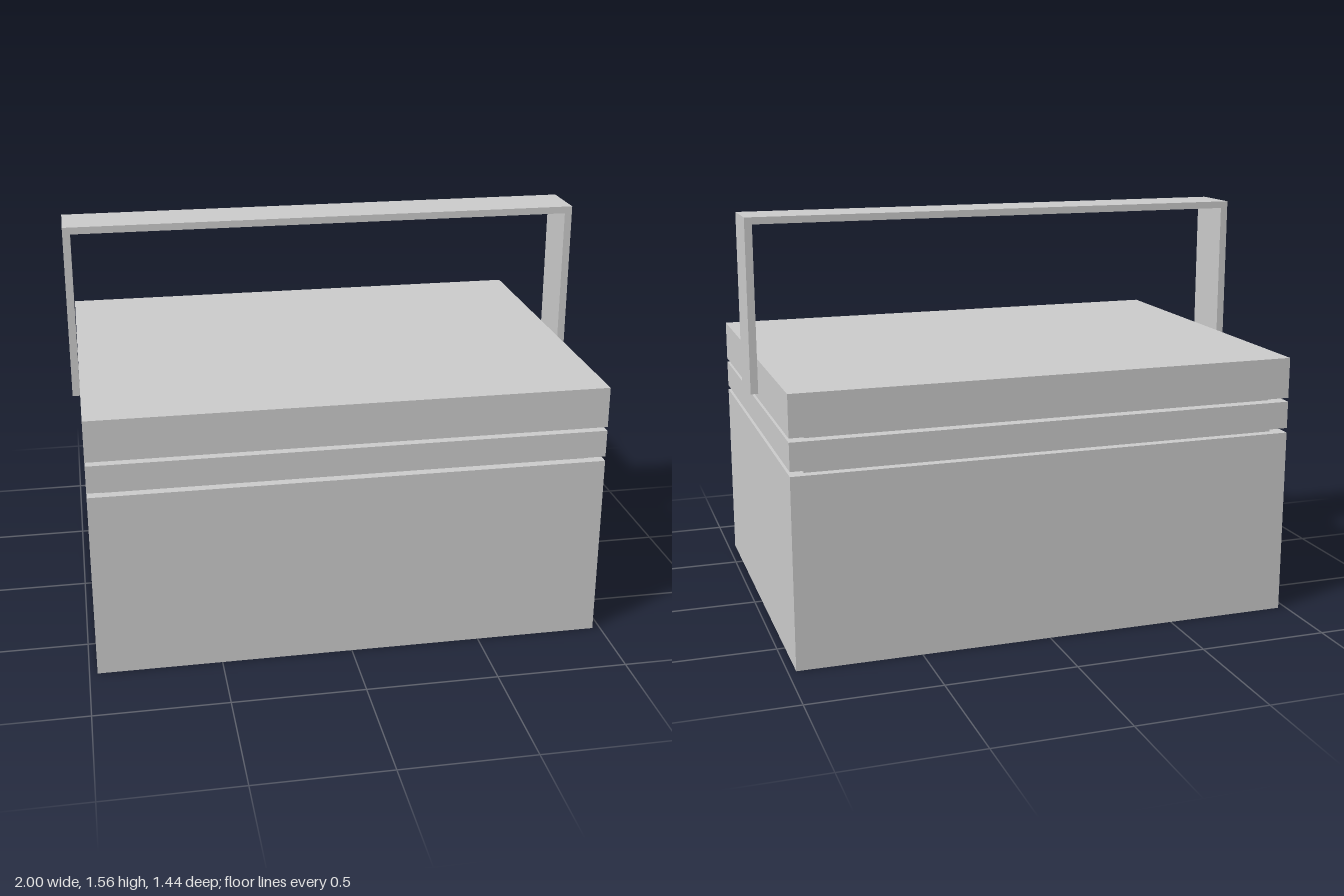
import * as THREE from 'three';

export function createModel() {
  const group = new THREE.Group();
  const material = new THREE.MeshStandardMaterial({ color: 0xcccccc, flatShading: true });

  const add = (name, geometry) => {
    const mesh = new THREE.Mesh(geometry, material);
    mesh.name = name;
    group.add(mesh);
    return mesh;
  };

  // Stacked slabs: name, half width, half depth, bottom, top
  const slabs = [
    ['basketBody', 0.97, 0.72, 0, 0.722],
    ['lowerNeck', 0.915, 0.683, 0.722, 0.74],
    ['middleTray', 0.97, 0.72, 0.74, 0.845],
    ['upperNeck', 0.908, 0.675, 0.845, 0.86],
    ['lid', 0.97, 0.72, 0.86, 1.017],
  ];
  for (const [name, w, d, y0, y1] of slabs) {
    add(name, new THREE.BoxGeometry(2 * w, y1 - y0, 2 * d)).position.y = (y0 + y1) / 2;
  }

  // Flat strap bent into an upside-down U, its ends overlapping the lid's sides
  const outer = 1, inner = 0.971, bottom = 0.882, top = 1.557, depth = 0.21;
  const strap = new THREE.Shape([
    [-outer, bottom], [-inner, bottom], [-inner, top - 0.027], [inner, top - 0.027],
    [inner, bottom], [outer, bottom], [outer, top], [-outer, top],
  ].map(([x, y]) => new THREE.Vector2(x, y)));
  add('handle', new THREE.ExtrudeGeometry(strap, { depth, bevelEnabled: false }))
    .position.z = -depth / 2;

  return group;
}
